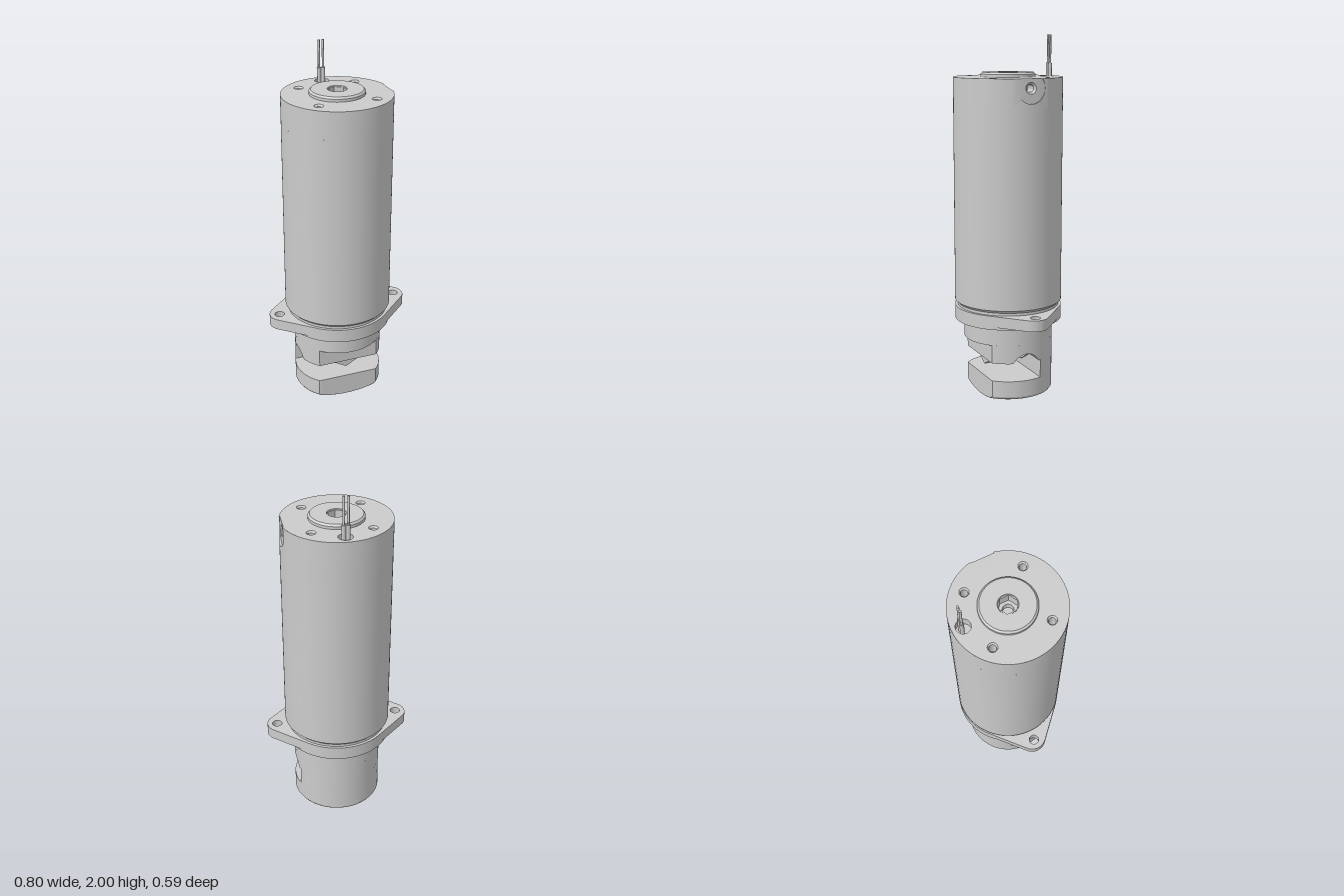
import * as THREE from 'three';
import { toCreasedNormals } from 'three/addons/utils/BufferGeometryUtils.js';

const R = 0.295;          // body radius
const TOP = 1.78;         // body top
const HEAD = 0.245;       // clamping head radius
const FRONT = 0.175;      // flat on the front of the head
const FLAT = 0.283;       // spot face on the +x side
const PORT_Y = 1.73, PORT_R = 0.08;

export function createModel() {
  const model = new THREE.Group();
  const material = new THREE.MeshStandardMaterial({ color: 0xcccccc });

  const add = (name, geometry, x = 0, y = 0, z = 0) => {
    const mesh = new THREE.Mesh(toCreasedNormals(geometry, 0.5), material);
    mesh.name = name;
    mesh.position.set(x, y, z);
    model.add(mesh);
    return mesh;
  };
  // Profile of [radius, y]: rising gives an outer skin, falling gives a bore
  const lathe = (points, sides = 96) =>
    new THREE.LatheGeometry(points.map(p => new THREE.Vector2(...p)), sides);
  const circle = (x, y, r) => new THREE.Path().absarc(x, y, r, 0, Math.PI * 2, false);
  const disc = r => new THREE.Shape().absarc(0, 0, r, 0, Math.PI * 2, false);
  const hexPoints = r => Array.from({ length: 6 }, (_, i) =>
    new THREE.Vector2(-r * Math.sin(i * Math.PI / 3), r * Math.cos(i * Math.PI / 3)));
  const plate = shape => new THREE.ShapeGeometry(shape, 48).rotateX(-Math.PI / 2);
  const slab = (shape, height) => new THREE.ExtrudeGeometry(shape,
    { depth: height, bevelEnabled: false, curveSegments: 48 }).rotateX(-Math.PI / 2);

  // Skin over equal-length closed rings; caps are for four-point rings
  const loft = (rings, caps = true) => {
    const pos = [];
    const quad = (a, b, c, d) => pos.push(...a, ...b, ...c, ...a, ...c, ...d);
    for (let i = 0; i + 1 < rings.length; i++) {
      const p = rings[i], q = rings[i + 1], n = p.length;
      for (let j = 0; j < n; j++) quad(p[j], p[(j + 1) % n], q[(j + 1) % n], q[j]);
    }
    if (caps) {
      quad(...[...rings[0]].reverse());
      quad(...rings[rings.length - 1]);
    }
    const g = new THREE.BufferGeometry();
    g.setAttribute('position', new THREE.Float32BufferAttribute(pos, 3));
    g.computeVertexNormals();
    return g;
  };

  // Main body: shell, then an upper band that leaves room for the side port
  add('bodyShell', lathe([[0, 0.53], [0.28, 0.53], [0.28, 0.545], [R, 0.56], [R, 1.63]]));
  const gap = Math.asin(0.1 / R);
  add('bodyUpperBand', new THREE.CylinderGeometry(R, R, TOP - 1.63, 96, 1, true,
    Math.PI / 2 + gap, Math.PI * 2 - 2 * gap), 0, (TOP + 1.63) / 2, 0);

  // Side port: round spot face cut into the wall, open at the top edge
  const rise = TOP - PORT_Y;
  const portRing = (radiusAt, flat) => Array.from({ length: 96 }, (_, i) => {
    const t = i / 96 * Math.PI * 2, c = Math.cos(t), s = Math.sin(t);
    const r = radiusAt(c, s), z = -r * c;
    const openTop = s > 0 && rise / s <= PORT_R;
    return [flat || openTop ? FLAT : Math.sqrt(R * R - z * z), PORT_Y + r * s, z];
  });
  const edge = (c, s) => Math.min(0.1 / Math.max(Math.abs(c), 1e-6),
    (s > 0 ? rise : 0.1) / Math.max(Math.abs(s), 1e-6));
  const spot = (c, s) => s > 0 ? Math.min(PORT_R, rise / s) : PORT_R;
  add('sidePortFace', loft([portRing(edge, false), portRing(spot, false),
    portRing(spot, true), portRing(() => 0.03, true)], false));
  add('sidePortBore', lathe([[0.03, 0], [0.02, -0.012], [0.02, -0.08], [0, -0.08]], 32),
    FLAT, PORT_Y, 0).rotation.z = -Math.PI / 2;

  // Top face with screw holes, cable hole and a notch over the port
  const half = Math.sqrt(PORT_R * PORT_R - rise * rise), notch = Math.asin(half / R);
  const topShape = new THREE.Shape().absarc(0, 0, R, notch, Math.PI * 2 - notch, false);
  topShape.lineTo(FLAT, -half).lineTo(FLAT, half);
  topShape.holes.push(circle(0, 0, 0.1), circle(0, 0.235, 0.038));
  for (const x of [-0.157, 0.157]) for (const z of [-0.157, 0.157]) {
    topShape.holes.push(circle(x, -z, 0.025));
    add('screwHole', lathe([[0.025, 0], [0.018, -0.01], [0.018, -0.1], [0, -0.1]], 32), x, TOP, z);
  }
  add('topFace', plate(topShape), 0, TOP, 0);
  add('cableHole', lathe([[0.038, 0], [0.038, -0.06], [0, -0.06]], 40), 0, TOP, -0.235);

  // Cable: two sleeved wires
  for (const x of [-0.012, 0.012]) {
    add('wireSleeve', lathe([[0, 1.72], [0.011, 1.72], [0.011, 1.85], [0, 1.85]], 20), x, 0, -0.246);
    add('wire', lathe([[0, 1.85], [0.0065, 1.85], [0.0065, 2], [0, 2]], 16), x, 0, -0.246);
  }

  // Raised boss with a hexagonal socket
  add('boss', lathe([[R / 2, TOP], [R / 2, 1.795], [0.138, 1.805], [0.052, 1.805], [0.05, 1.8]]));
  const rim = disc(0.05);
  rim.holes.push(new THREE.Path(hexPoints(0.0495)));
  add('socketRim', plate(rim), 0, 1.8, 0);
  add('socketWalls', lathe([[0.0495, 1.8], [0.0495, 1.74]], 6));
  const floor = new THREE.Shape(hexPoints(0.0495));
  floor.holes.push(circle(0, 0, 0.028));
  add('socketFloor', plate(floor), 0, 1.74, 0);
  add('socketBore', lathe([[0.028, 1.74], [0.028, 1.7], [0, 1.7]], 32));

  // Two-eared mounting flange: tangent outline round the disc and both ears
  const ear = 0.32, earR = 0.08, a = Math.acos((R - earR) / ear);
  const flange = new THREE.Shape().absarc(ear, 0, earR, -a, a, false);
  flange.absarc(0, 0, R, a, Math.PI - a, false);
  flange.absarc(-ear, 0, earR, Math.PI - a, Math.PI + a, false);
  flange.absarc(0, 0, R, Math.PI + a, Math.PI * 2 - a, false);
  flange.holes.push(circle(0.345, 0, 0.027), circle(-0.345, 0, 0.027));
  add('mountingFlange', slab(flange, 0.06), 0, 0.47, 0);
  add('flangeStep', lathe([[0, 0.455], [R, 0.455], [R, 0.475], [0, 0.475]]));

  // Clamping head: round collar, then the upper jaw with a cross bore
  add('headCollar', lathe([[0, 0.35], [HEAD, 0.35], [HEAD, 0.46], [0, 0.46]]));
  const boreR = 0.08, boreY = 0.22, jawY = 0.25;
  const jaw = [];
  const addSlice = z => {
    const w = Math.sqrt(Math.max(0, HEAD * HEAD - z * z));
    const lo = Math.max(jawY, boreY + Math.sqrt(Math.max(0, boreR * boreR - z * z)));
    jaw.push([[-w, lo, z], [w, lo, z], [w, 0.352, z], [-w, 0.352, z]]);
  };
  const endAngle = Math.asin(FRONT / HEAD);
  for (let i = 0; i <= 80; i++)
    addSlice(HEAD * Math.sin(-Math.PI / 2 + (endAngle + Math.PI / 2) * i / 80));
  add('upperJaw', loft(jaw));

  // Back web joining the jaws behind the slot
  const webAngle = Math.asin(0.09 / HEAD);
  const web = new THREE.Shape().absarc(0, 0, HEAD, webAngle, Math.PI - webAngle, false);
  add('backWeb', slab(web, 0.1), 0, 0.15, 0);

  // V-shaped tongue under the upper jaw, parted by the cross bore
  const tongue = (front) => {
    const rings = [];
    for (let i = 0; i <= 8; i++) {
      const y = 0.19 + 0.06 * i / 8, w = 0.105 * i / 8;
      const b = Math.sqrt(boreR * boreR - (y - boreY) ** 2);
      const [z0, z1] = front ? [b, 0.145] : [-0.09, -b];
      rings.push([[-w, y, z1], [w, y, z1], [w, y, z0], [-w, y, z0]]);
    }
    return loft(rings);
  };
  add('tongueFront', tongue(true));
  add('tongueBack', tongue(false));

  // Lower jaw: domed base, trimmed flat at the front
  const base = [];
  for (let i = 0; i <= 24; i++) {
    const r = 0.225 * i / 24;
    base.push([r, 0.005 + 0.038 * (r / 0.225) ** 2]);
  }
  base.push([0.237, 0.048], [HEAD, 0.06], [HEAD, 0.15], [0, 0.15]);
  base.forEach(p => { if (p[1] < 0.06) p[1] -= 0.005 * (1 - p[0] / HEAD); });
  const lower = lathe(base, 128), p = lower.attributes.position;
  for (let i = 0; i < p.count; i++) p.setZ(i, Math.min(p.getZ(i), FRONT));
  add('lowerJaw', lower);

  return model;
}
